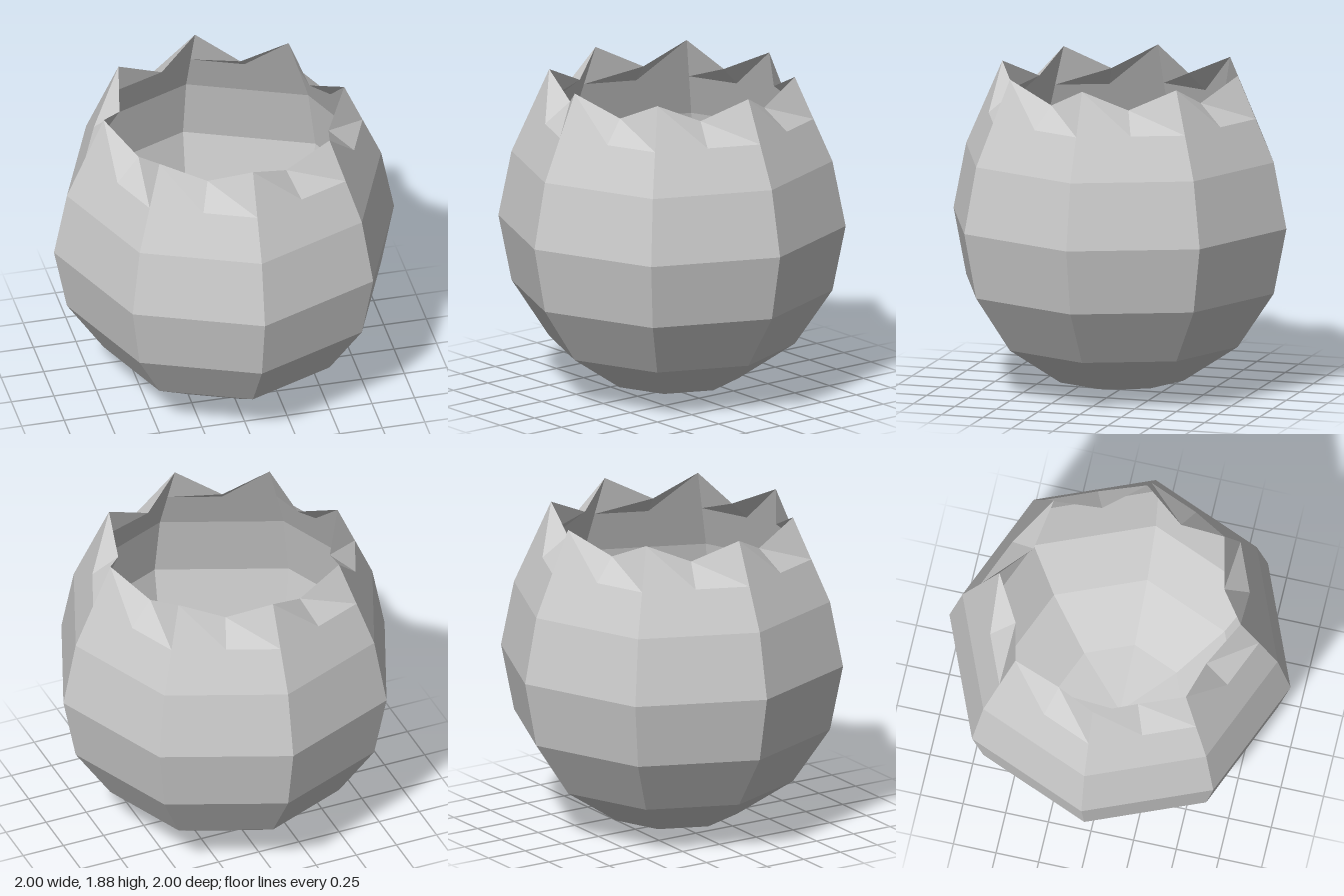
import * as THREE from 'three';

const SIDES = 8;
const RIM_Y = 1.63, RIM_R = 0.815;

export function createModel() {
  const group = new THREE.Group();
  const material = new THREE.MeshStandardMaterial({
    color: 0xcccccc, flatShading: true, side: THREE.DoubleSide,
  });

  // Open eight-sided bowl: sphere rings up to the widened shoulder
  const profile = [];
  for (let i = 0; i <= 5; i++) {
    const a = (i * Math.PI) / 8;
    profile.push(new THREE.Vector2(Math.sin(a), 1 - Math.cos(a)));
  }
  profile.push(new THREE.Vector2(RIM_R, RIM_Y));
  const bowlGeometry = new THREE.LatheGeometry(profile, SIDES).toNonIndexed();
  bowlGeometry.computeVertexNormals();
  const bowl = new THREE.Mesh(bowlGeometry, material);
  bowl.name = 'bowl';
  group.add(bowl);

  // Jagged rim: tall tips over the corners, notches pulled inward between them
  const point = (step, radius, y) => {
    const a = (step * Math.PI) / SIDES;
    return [Math.sin(a) * radius, y, Math.cos(a) * radius];
  };
  const midR = RIM_R * Math.cos(Math.PI / SIDES);
  const low = (s) => (s % 2 ? point(s, midR, RIM_Y) : point(s, RIM_R, RIM_Y));
  const high = (s) => (s % 2 ? point(s, 0.605, 1.752) : point(s, Math.SQRT1_2, 1.875));
  const positions = [];
  for (let s = 0; s < SIDES * 2; s++) {
    const a = low(s), b = low(s + 1), c = high(s + 1), d = high(s);
    positions.push(...a, ...b, ...d, ...b, ...c, ...d);
  }
  const rimGeometry = new THREE.BufferGeometry();
  rimGeometry.setAttribute('position', new THREE.Float32BufferAttribute(positions, 3));
  rimGeometry.computeVertexNormals();
  const rim = new THREE.Mesh(rimGeometry, material);
  rim.name = 'jaggedRim';
  group.add(rim);

  return group;
}
